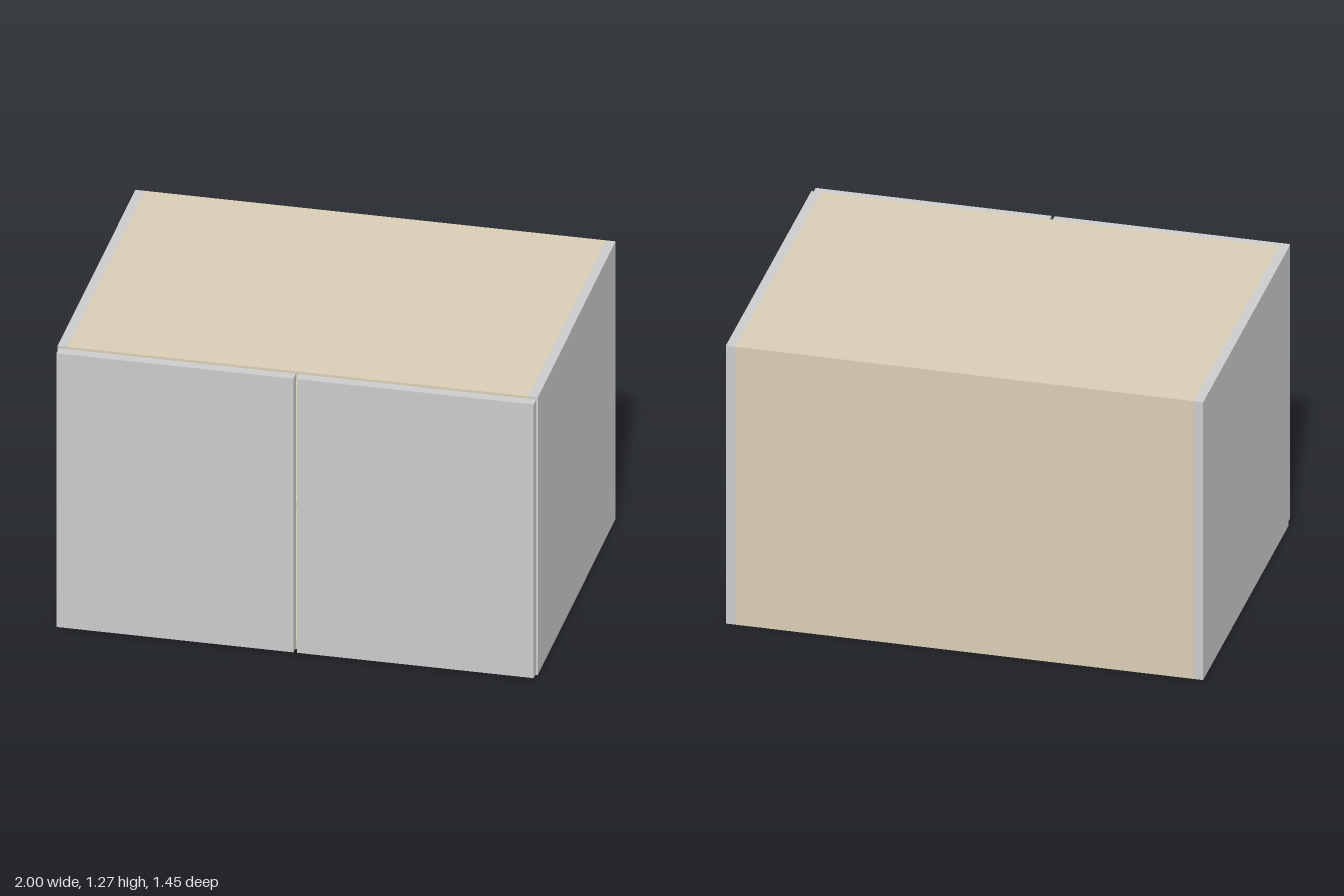
import * as THREE from 'three';

const grey = new THREE.MeshStandardMaterial({ color: 0xcccccc });
const wood = new THREE.MeshStandardMaterial({ color: 0xd9cdb5 });

// Box panel given by its extents on each axis
function panel(name, material, [x0, x1], [y0, y1], [z0, z1]) {
  const mesh = new THREE.Mesh(new THREE.BoxGeometry(x1 - x0, y1 - y0, z1 - z0), material);
  mesh.position.set((x0 + x1) / 2, (y0 + y1) / 2, (z0 + z1) / 2);
  mesh.name = name;
  return mesh;
}

export function createModel() {
  const group = new THREE.Group();
  group.name = 'cabinet';

  const H = 1.272, T = 0.04;        // carcass height, board thickness
  const back = -0.724, front = 0.676; // carcass depth range
  const inner = 1 - T;
  const across = [-inner, inner];

  // Side panels and doors, mirrored
  for (const [side, s] of [['left', 1], ['right', -1]]) {
    const span = (a, b) => (s > 0 ? [a, b] : [-b, -a]);
    group.add(panel(side + 'SidePanel', grey, span(inner, 1), [0, H], [back, front]));
    group.add(panel(side + 'Door', grey, span(0.007, 0.994), [0.009, H - 0.009], [front + 0.003, 0.724]));
  }

  // Boards between the sides
  group.add(panel('topPanel', wood, across, [H - T, H], [back, front]));
  group.add(panel('bottomPanel', wood, across, [0, T], [back, front]));
  group.add(panel('backPanel', wood, across, [T, H - T], [back, back + T]));
  group.add(panel('shelf', wood, across, [H / 2 - T / 2, H / 2 + T / 2], [back + T, front - 0.04]));

  return group;
}
